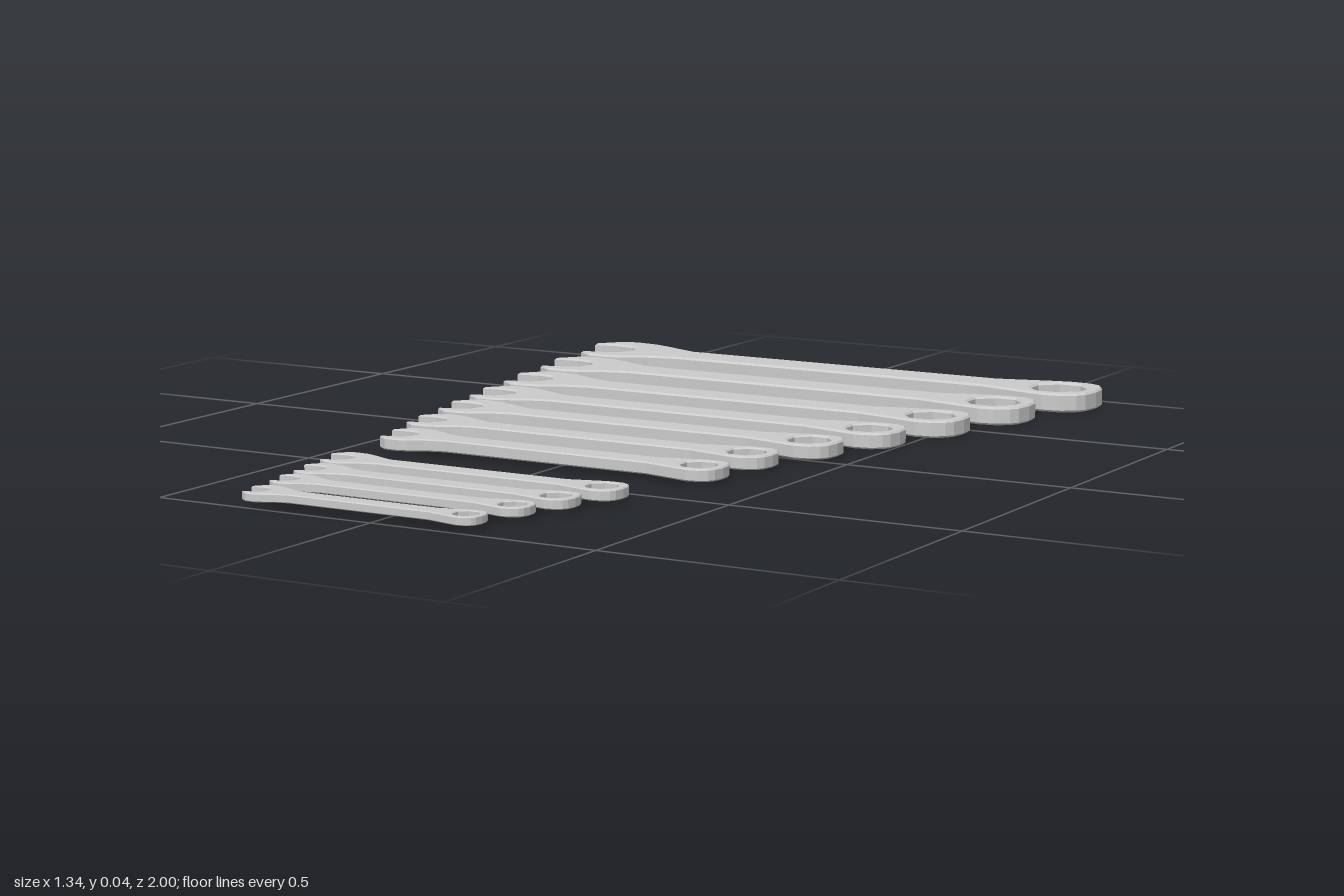
import * as THREE from 'three';

// Wrench outline in plan [x, z], 252.5 units long and 41 wide, centred
const OUTLINE = [
  // lower edge: ring end to open jaw
  [76, 9.5], [102, 15.5], [109, 17], [117, 15.7], [122.5, 12], [125, 8], [126.25, 0],
  [125.5, -8], [122.5, -14], [117, -16.7], [109, -17.2], [102, -16],
  // upper edge of the handle and upper jaw
  [76, -8.7], [-74, -8.7], [-82, -12], [-92, -16.5], [-100, -19.3], [-111, -20.5], [-118, -18.3],
  [-126.25, -7.5],
  // tilted mouth
  [-115, -9.8], [-107, -8.5], [-102, -4], [-101, 2], [-103, 8], [-107, 11.3], [-120, 15],
  // lower jaw
  [-113, 20], [-104, 20.5], [-97, 18.5], [-87, 13], [-74, 9.5],
];
const LENGTH = 252.5, WIDTH = 41, THICK = 8.1, BEVEL = 0.9;
const RING = { x: 109, z: -0.4, r: 12.6, sides: 8 };

function wrenchGeometry() {
  const shape = new THREE.Shape(OUTLINE.map(([x, z]) => new THREE.Vector2(x, -z)));
  const hole = [];
  for (let i = 0; i < RING.sides; i++) {
    const a = ((i + 0.5) / RING.sides) * Math.PI * 2;
    hole.push(new THREE.Vector2(RING.x + RING.r * Math.cos(a), -RING.z + RING.r * Math.sin(a)));
  }
  shape.holes.push(new THREE.Path(hole));
  const geo = new THREE.ExtrudeGeometry(shape, {
    depth: THICK - 2 * BEVEL, bevelEnabled: true, bevelThickness: BEVEL,
    bevelSize: BEVEL, bevelOffset: -BEVEL, bevelSegments: 1,
  });
  geo.translate(0, 0, -(THICK - 2 * BEVEL) / 2);
  geo.rotateX(-Math.PI / 2);
  return geo;
}

// Extents of every wrench: [left x, right x, back z, front z]
const SIZES = [
  [-0.668, 0.668, -1.0, -0.782],
  [-0.635, 0.613, -0.755, -0.55],
  [-0.595, 0.562, -0.523, -0.332],
  [-0.557, 0.51, -0.311, -0.137],
  [-0.52, 0.457, -0.122, 0.041],
  [-0.483, 0.403, 0.069, 0.214],
  [-0.435, 0.383, 0.244, 0.38],
  [-0.388, 0.32, 0.54, 0.656],
  [-0.365, 0.287, 0.668, 0.777],
  [-0.343, 0.256, 0.785, 0.885],
  [-0.322, 0.225, 0.909, 1.0],
];

export function createModel() {
  const group = new THREE.Group();
  group.name = 'wrenchSet';
  const geo = wrenchGeometry();
  const material = new THREE.MeshStandardMaterial({ color: 0xcccccc, flatShading: true });
  const midHeight = (THICK * (SIZES[0][1] - SIZES[0][0])) / LENGTH / 2;

  // All wrenches share one mid-plane, so the small ones sit slightly above the ground
  SIZES.forEach(([x0, x1, z0, z1], i) => {
    const wrench = new THREE.Mesh(geo, material);
    wrench.name = `combinationWrench${i + 1}`;
    const s = (x1 - x0) / LENGTH;
    wrench.scale.set(s, s, (z1 - z0) / WIDTH);
    wrench.position.set((x0 + x1) / 2, midHeight, (z0 + z1) / 2);
    group.add(wrench);
  });
  return group;
}
